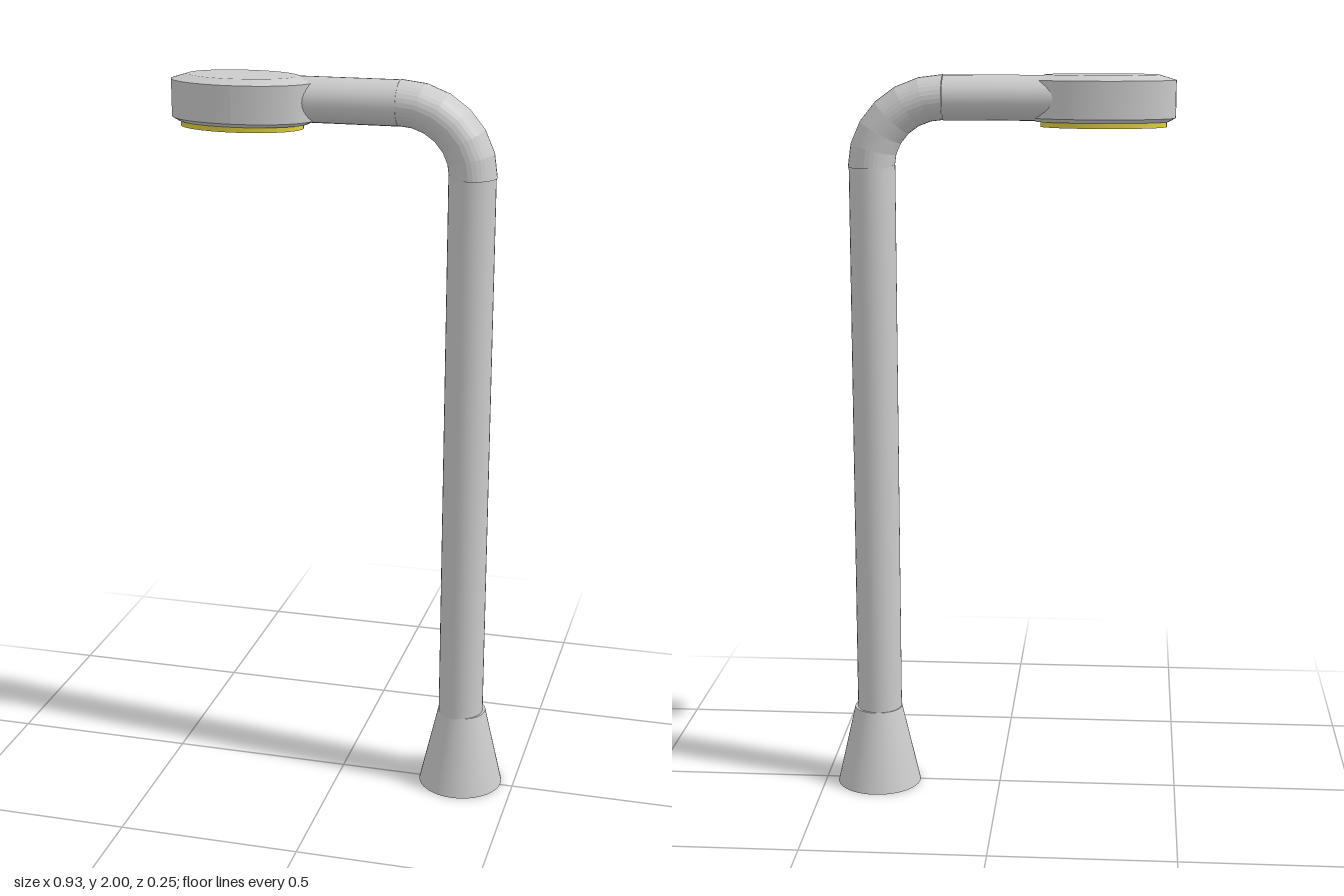
import * as THREE from 'three';

const grey = new THREE.MeshStandardMaterial({ color: 0xcccccc });
const greyFlat = new THREE.MeshStandardMaterial({ color: 0xcccccc, flatShading: true, side: THREE.DoubleSide });
const yellow = new THREE.MeshStandardMaterial({ color: 0xe0d040 });

function add(group, name, geometry, material, x, y, z) {
  const mesh = new THREE.Mesh(geometry, material);
  mesh.name = name;
  mesh.position.set(x, y, z);
  group.add(mesh);
  return mesh;
}

// Stack of elliptical bands [rx, rz, y]; each band has its own edge so bevels stay crisp
function ellipseStack(name, rings, material) {
  const group = new THREE.Group();
  group.name = name;
  for (let i = 0; i < rings.length - 1; i++) {
    const [ax, az, ay] = rings[i], [bx, bz, by] = rings[i + 1];
    const g = new THREE.CylinderGeometry(1, 1, by - ay, 48, 1, true);
    const p = g.attributes.position;
    for (let k = 0; k < p.count; k++) {
      const top = p.getY(k) > 0;
      p.setX(k, p.getX(k) * (top ? bx : ax));
      p.setZ(k, p.getZ(k) * (top ? bz : az));
    }
    g.computeVertexNormals();
    add(group, name + 'Band', g, material, 0, (ay + by) / 2, 0);
  }
  // Flat caps at both ends
  [rings[0], rings[rings.length - 1]].forEach(([rx, rz, y], i) => {
    const g = new THREE.CircleGeometry(1, 48);
    g.rotateX(i ? -Math.PI / 2 : Math.PI / 2);
    g.scale(rx, 1, rz);
    add(group, name + 'Cap', g, material, 0, y, 0);
  });
  return group;
}

export function createModel() {
  const model = new THREE.Group();
  model.name = 'streetLamp';
  const px = 0.346, pz = -0.006;

  // Flared foot and upright pole
  add(model, 'base', new THREE.CylinderGeometry(0.067, 0.118, 0.225, 48), grey, 0.347, 0.1125, -0.008);
  const pole = new THREE.CylinderGeometry(0.0625, 0.0625, 1.56, 32);
  pole.scale(1, 1, 1.05);
  add(model, 'pole', pole, grey, 0.344, 0.98, pz);

  // Faceted quarter bend joining pole and arm
  const bend = new THREE.TorusGeometry(0.195, 0.063, 32, 6, Math.PI / 2);
  bend.scale(1, 0.95, 1.1);
  add(model, 'bend', bend, greyFlat, px - 0.195, 1.755, pz);

  // Horizontal arm running into the lamp head
  const arm = new THREE.CylinderGeometry(0.06, 0.06, 0.36, 32);
  arm.rotateZ(Math.PI / 2);
  arm.scale(1, 1, 1.125);
  add(model, 'arm', arm, grey, -0.03, 1.939, pz - 0.001);

  // Oval lamp head with bevelled rims
  const head = ellipseStack('head', [
    [0.178, 0.1, 1.877], [0.196, 0.112, 1.887], [0.196, 0.112, 1.986], [0.15, 0.085, 2.0],
  ], grey);
  head.position.set(-0.271, 0, 0.01);
  model.add(head);

  // Light panel under the head
  const lens = ellipseStack('lightPanel', [[0.168, 0.098, 1.863], [0.168, 0.098, 1.88]], yellow);
  lens.position.set(-0.275, 0, 0.01);
  model.add(lens);

  return model;
}
